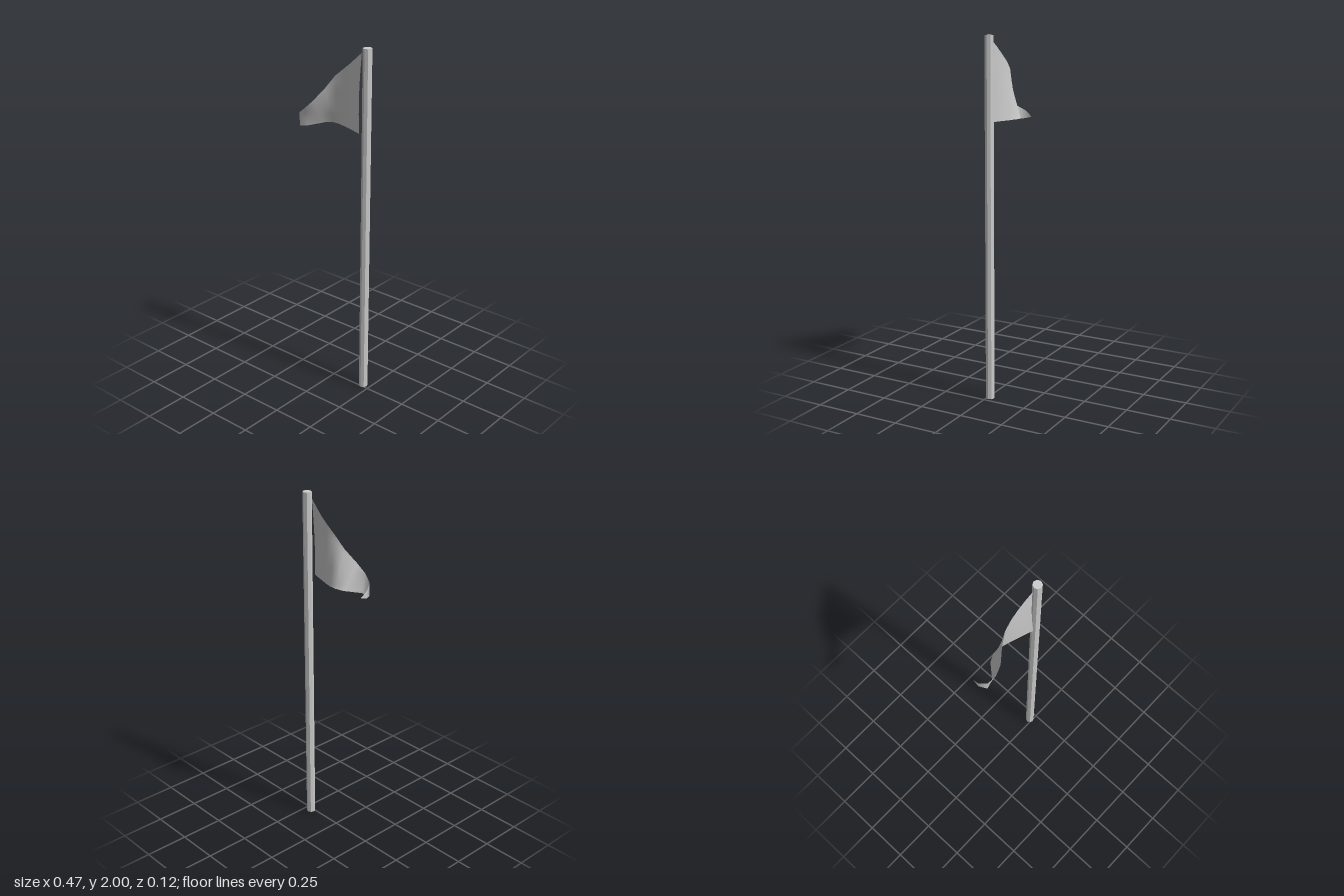
import * as THREE from 'three';

// Flag columns from hoist to tip: [top x, y, z], [bottom x, y, z]
const COLUMNS = [
  [[0.172, 1.97, -0.015], [0.172, 1.54, 0.003]],
  [[0.13, 1.935, -0.021], [0.13, 1.54, -0.013]],
  [[0.09, 1.90, -0.025], [0.09, 1.54, -0.026]],
  [[0.04, 1.86, -0.026], [0.04, 1.54, -0.043]],
  [[-0.012, 1.815, -0.02], [-0.015, 1.54, -0.058]],
  [[-0.06, 1.745, 0.004], [-0.06, 1.54, -0.06]],
  [[-0.115, 1.67, 0.045], [-0.102, 1.535, -0.04]],
  [[-0.162, 1.625, 0.057], [-0.162, 1.522, 0.03]],
  [[-0.21, 1.59, 0.043], [-0.21, 1.515, 0.041]],
  [[-0.233, 1.563, 0], [-0.233, 1.52, 0]],
  [[-0.228, 1.53, -0.04], [-0.228, 1.53, -0.04]],
];
const ROWS = 8;

// Loft a thin rippling sheet through the columns
function flagGeometry() {
  const positions = [], index = [];
  const last = COLUMNS.length - 1;
  COLUMNS.forEach(([top, bottom], i) => {
    for (let j = 0; j <= ROWS; j++) {
      const t = j / ROWS;
      const p = top.map((a, k) => a + (bottom[k] - a) * t);
      // the hoist edge sags slightly away from the pole
      if (i === 0) p[0] -= 0.008 * Math.sin(Math.PI * t);
      positions.push(...p);
    }
    if (i === last) return;
    for (let j = 0; j < ROWS; j++) {
      const a = i * (ROWS + 1) + j, b = a + ROWS + 1;
      index.push(a, b, a + 1);
      if (i < last - 1) index.push(b, b + 1, a + 1);
    }
  });
  const geometry = new THREE.BufferGeometry();
  geometry.setAttribute('position', new THREE.Float32BufferAttribute(positions, 3));
  geometry.setIndex(index);
  geometry.computeVertexNormals();
  return geometry;
}

export function createModel() {
  const group = new THREE.Group();

  // Eight-sided pole
  const pole = new THREE.Mesh(
    new THREE.CylinderGeometry(0.025, 0.025, 2, 8),
    new THREE.MeshStandardMaterial({ color: 0xcccccc, flatShading: true })
  );
  pole.name = 'pole';
  pole.position.set(0.208, 1, -0.016);
  group.add(pole);

  // Pennant with a curled tip
  const flag = new THREE.Mesh(
    flagGeometry(),
    new THREE.MeshStandardMaterial({ color: 0xcccccc, side: THREE.DoubleSide })
  );
  flag.name = 'flag';
  group.add(flag);

  return group;
}
